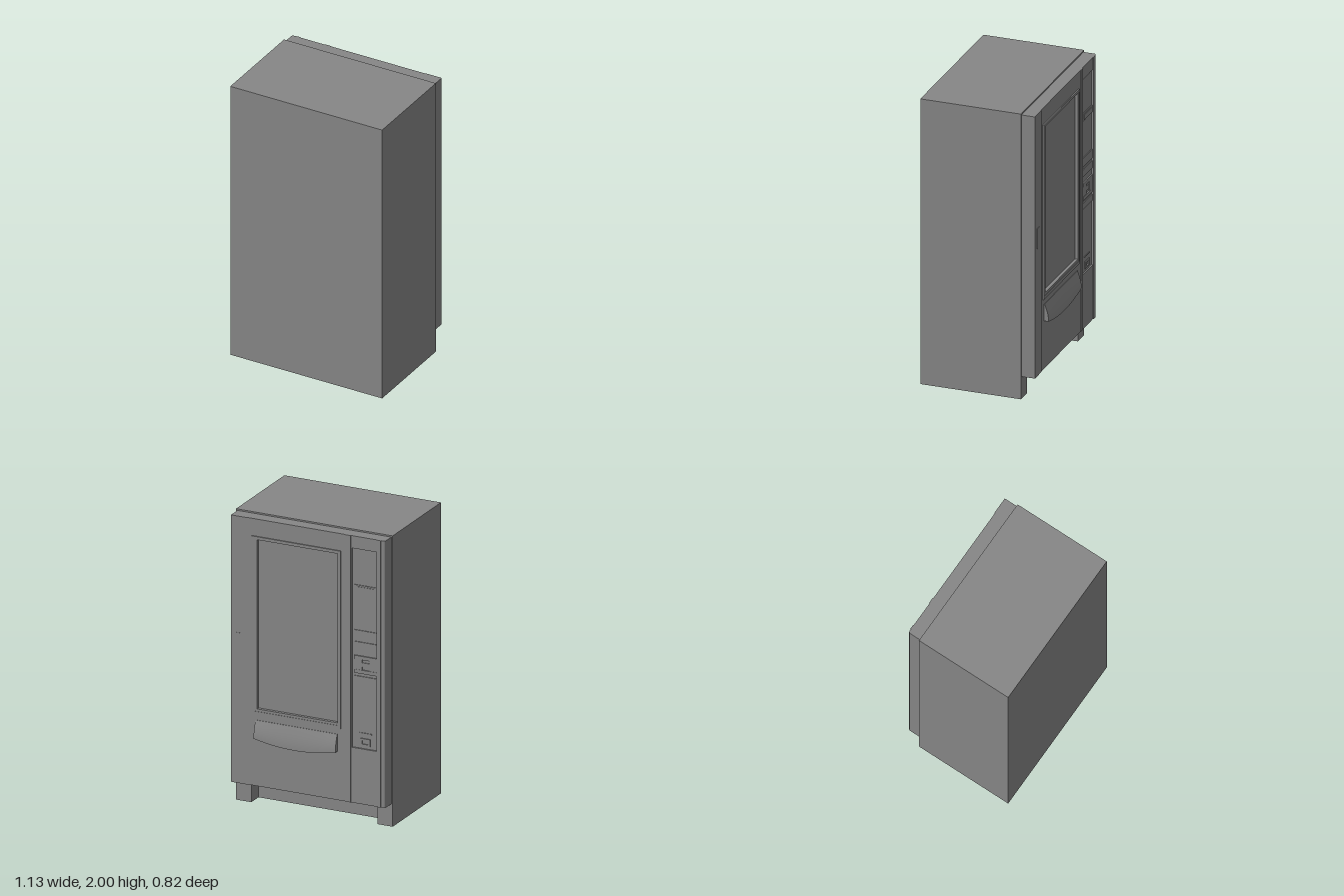
import * as THREE from 'three';

const material = new THREE.MeshStandardMaterial({ color: 0x868686 });

export function createModel() {
  const model = new THREE.Group();

  const add = (name, geometry) => {
    const mesh = new THREE.Mesh(geometry, material);
    mesh.name = name;
    model.add(mesh);
    return mesh;
  };

  // Box given by its limits on each axis
  const box = (name, x0, x1, y0, y1, z0, z1) => {
    const mesh = add(name, new THREE.BoxGeometry(x1 - x0, y1 - y0, z1 - z0));
    mesh.position.set((x0 + x1) / 2, (y0 + y1) / 2, (z0 + z1) / 2);
    return mesh;
  };

  // Plate with rectangular openings, each given as [x0, x1, y0, y1]
  const rectangle = (path, [x0, x1, y0, y1]) =>
    path.moveTo(x0, y0).lineTo(x1, y0).lineTo(x1, y1).lineTo(x0, y1).closePath();
  const plate = (name, outline, holes, z0, z1) => {
    const shape = rectangle(new THREE.Shape(), outline);
    shape.holes = holes.map((hole) => rectangle(new THREE.Path(), hole));
    const geometry = new THREE.ExtrudeGeometry(shape, { depth: z1 - z0, bevelEnabled: false });
    add(name, geometry).position.z = z0;
  };

  // Cabinet with a recessed kick panel between two front legs
  box('cabinet', -0.565, 0.565, 0.14, 2, -0.288, 0.408);
  box('cabinetBase', -0.565, 0.565, 0, 0.14, -0.185, 0.408);
  for (const side of [-1, 1]) {
    const leg = box('frontLeg', -0.055, 0.055, 0, 0.14, -0.288, -0.185);
    leg.position.x = side * 0.51;
  }

  // Door: backing, pierced front plate, and a rounded free edge
  const bottom = 0.155, top = 1.99, face = -0.377;
  const window = [-0.213, 0.368, 0.687, 1.85];
  const panel = [-0.495, -0.315, 0.535, 1.905];
  box('doorBacking', -0.525, 0.555, bottom, top, -0.352, -0.288);
  plate('doorFront', [-0.525, 0.555, bottom, top], [window, panel], face, -0.352);
  box('panelFloor', panel[0], panel[1], panel[2], panel[3], -0.366, -0.352);

  const edge = new THREE.Shape();
  edge.moveTo(-0.525, 0.288).lineTo(-0.525, -face).lineTo(-0.54, -face);
  edge.quadraticCurveTo(-0.555, -face, -0.555, 0.361).lineTo(-0.555, 0.288).closePath();
  const edgeGeometry = new THREE.ExtrudeGeometry(edge, { depth: top - bottom, bevelEnabled: false, curveSegments: 8 });
  edgeGeometry.rotateX(-Math.PI / 2);
  add('doorRoundedEdge', edgeGeometry).position.y = bottom;

  // Slim raised trims and lock plate on the door
  box('hingeStrip', 0.437, 0.555, bottom, top, -0.381, -0.37);
  box('lockPlate', 0.475, 0.515, 1.05, 1.19, -0.384, -0.37);
  box('panelInnerTrim', -0.309, -0.27, bottom, top, -0.381, -0.37);
  box('panelOuterTrim', -0.525, -0.495, bottom, top, -0.381, -0.37);

  // Stepped window frame around the recessed glass
  plate('windowFrame', [-0.238, 0.405, 0.648, 1.872], [[-0.222, 0.385, 0.67, 1.857]], -0.385, -0.37);
  plate('windowInnerLip', [-0.222, 0.385, 0.67, 1.857], [window], -0.382, -0.352);
  box('windowGlass', window[0], window[1], window[2], window[3], -0.36, -0.35);

  // Delivery flap: front bulges down and out, lower edge sags in the middle
  const flap = new THREE.BoxGeometry(2, 1, 1, 32, 10, 1);
  const points = flap.attributes.position;
  for (let i = 0; i < points.count; i++) {
    const u = points.getX(i);
    const v = 0.5 - points.getY(i);
    const low = 0.455 + 0.034 * u * u;
    const z = points.getZ(i) > 0 ? -0.368 : -0.38 - 0.028 * Math.sin(v * Math.PI / 2);
    points.setXYZ(i, 0.084 + 0.295 * u, THREE.MathUtils.lerp(0.608, low, v), z);
  }
  flap.computeVertexNormals();
  add('deliveryFlap', flap);

  // Payment panel fittings set inside the recess: [name, x0, x1, y0, y1, front z]
  const fittings = [
    ['display', -0.495, -0.33, 1.605, 1.655, -0.372],
    ['displayScreen', -0.48, -0.345, 1.615, 1.645, -0.375],
    ['keypadUpper', -0.495, -0.33, 1.285, 1.345, -0.372],
    ['keypadLower', -0.495, -0.33, 1.215, 1.265, -0.372],
    ['billReaderTop', -0.495, -0.33, 1.145, 1.17, -0.375],
    ['billReaderLeft', -0.385, -0.33, 1.075, 1.145, -0.373],
    ['billReaderRight', -0.495, -0.44, 1.075, 1.145, -0.373],
    ['billReaderMouth', -0.44, -0.385, 1.095, 1.125, -0.371],
    ['billReaderBottom', -0.495, -0.33, 1.05, 1.075, -0.375],
    ['coinPlate', -0.495, -0.33, 0.985, 1.03, -0.372],
    ['coinReturnHood', -0.455, -0.365, 0.637, 0.643, -0.371],
  ];
  for (const [name, x0, x1, y0, y1, z] of fittings) box(name, x0, x1, y0, y1, z, -0.355);

  // Coin return cup with an open mouth
  plate('coinReturn', [-0.445, -0.37, 0.555, 0.605], [[-0.43, -0.385, 0.567, 0.592]], -0.373, -0.355);

  return model;
}
